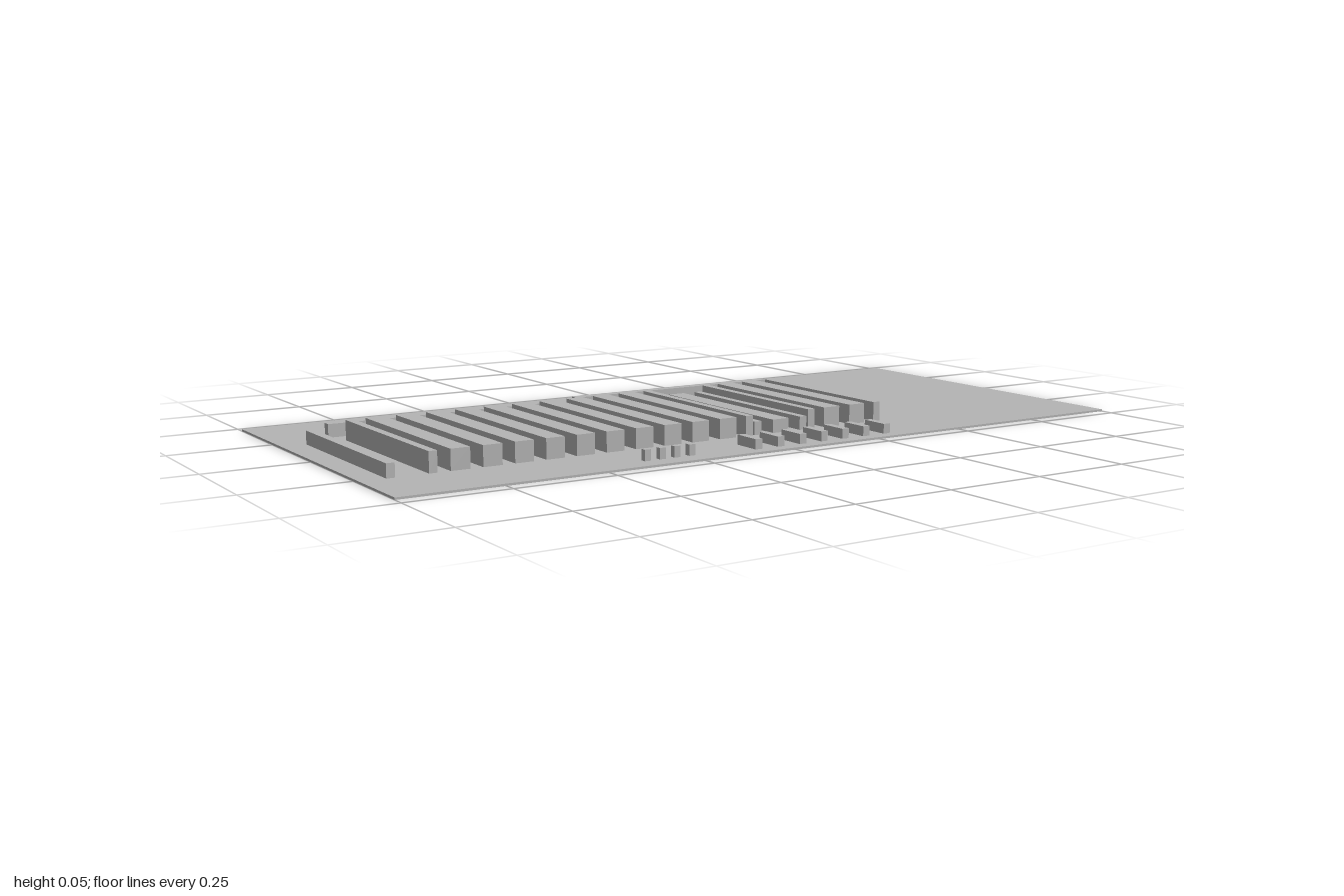
import * as THREE from 'three';

export function createModel() {
  const model = new THREE.Group();
  const grey = new THREE.MeshStandardMaterial({ color: 0xb4b4b4 });
  grey.name = 'plain grey';
  const floorTop = 0.005;

  // Box given by its limits on each axis
  function block(name, x0, x1, y0, y1, z0, z1) {
    const mesh = new THREE.Mesh(new THREE.BoxGeometry(x1 - x0, y1 - y0, z1 - z0), grey);
    mesh.position.set((x0 + x1) / 2, (y0 + y1) / 2, (z0 + z1) / 2);
    mesh.name = name;
    model.add(mesh);
  }

  // Floor slab
  block('floor', -1, 1, 0, floorTop, -0.468, 0.468);

  // Main rows of shelving: left edge, width, top height
  const tall = 0.054, low = 0.038, wide = 0.047, narrow = 0.02;
  const rows = [[-0.94, narrow, low], [-0.842, narrow, tall]];
  for (let i = 0; i < 10; i++) rows.push([-0.791 + i * 0.0778, wide, tall]);
  rows.push(
    [-0.015, narrow, tall], [0.01, narrow, low],
    [0.064, wide, low],
    [0.145, narrow, low], [0.17, narrow, tall],
    [0.22, wide, tall], [0.299, wide, tall], [0.376, narrow, tall]
  );
  for (const [x, w, top] of rows) block('shelfRow', x, x + w, floorTop, top, -0.186, 0.285);

  // Long shelves along the back
  block('backShelfRight', -0.865, -0.26, floorTop, 0.038, -0.262, -0.24);
  block('backShelfLeft', -0.188, 0.418, floorTop, 0.044, -0.262, -0.24);

  // Counters along the front
  for (let i = 0; i < 7; i++) {
    const x = -0.095 + i * 0.0632;
    block('counter', x, x + 0.019, floorTop, 0.029, 0.365, 0.438);
  }

  // Small stands beside the counters
  for (let i = 0; i < 4; i++) {
    const x = -0.383 + i * 0.0392;
    block('smallStand', x, x + 0.016, floorTop, 0.031, 0.405, 0.42);
  }

  return model;
}
